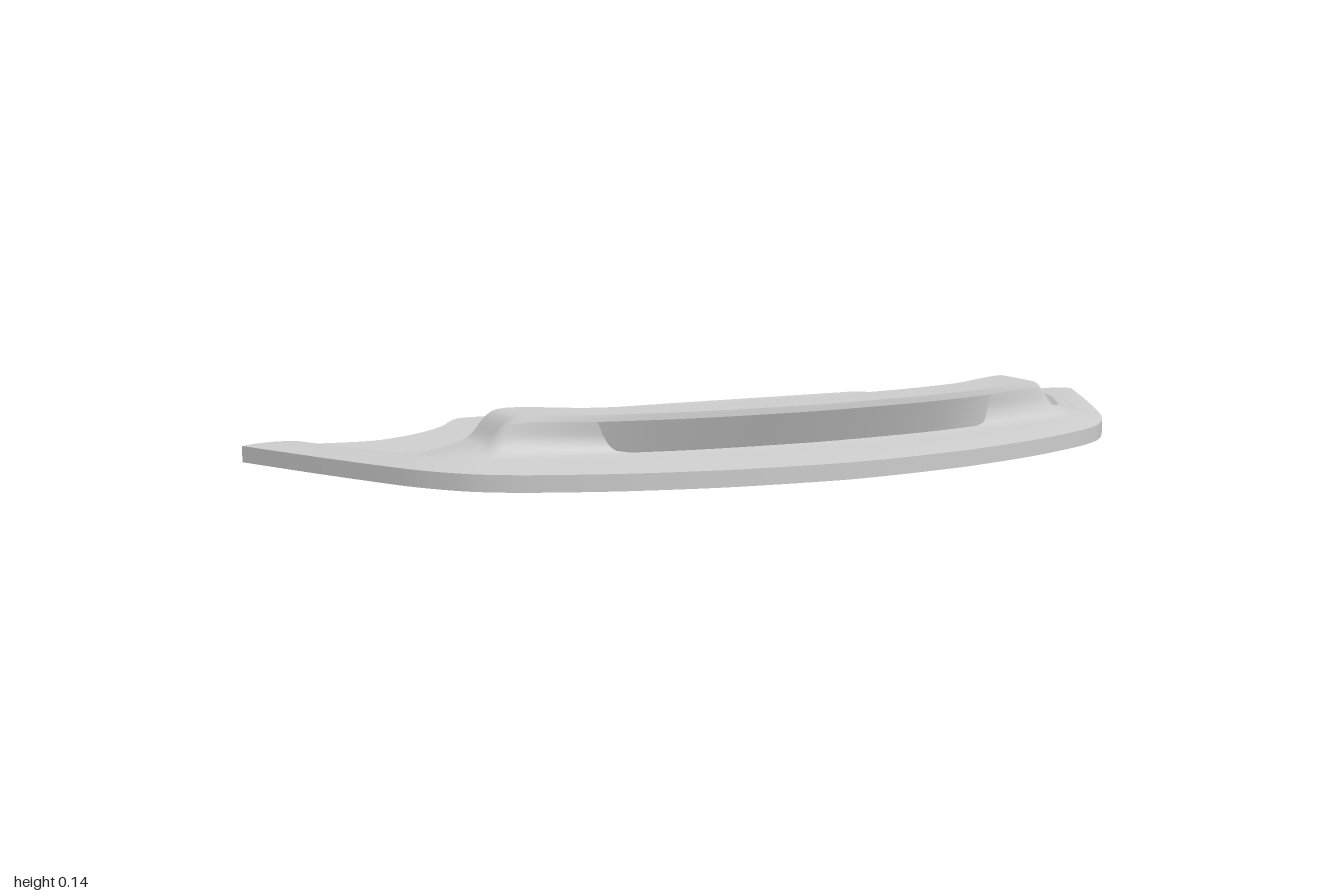
import * as THREE from 'three';

const material = new THREE.MeshStandardMaterial({ color: 0xcccccc, side: THREE.DoubleSide });

// Height of the undertray, which rises gently towards the back
const trayY = z => Math.max(0, 0.066 * (0.28 - z));

// A lengthwise rail: stations [x, z, y] from the centre to the tip, mirrored to the other side
function rail(stations, height = trayY) {
  const half = stations.map(([x, z, y]) => new THREE.Vector3(x, y ?? height(z), z));
  const other = half.slice(1).reverse().map(p => new THREE.Vector3(-p.x, p.y, p.z));
  return new THREE.CatmullRomCurve3([...other, ...half], false, 'catmullrom', 0.38);
}

const outline = [[0, .435], [.25, .41], [.45, .36], [.62, .292], [.71, .232], [.79, .13], [.9, -.08], [1, -.29]];
const innerLine = [[0, .3], [.25, .28], [.44, .24], [.6, .18], [.68, .12], [.76, .03], [.85, -.14], [.89, -.29]];

const outerBottom = rail(outline, () => 0.009);
const outerTop = rail(outline, () => 0.042);
const slope = rail([[0, .37, .052], [.25, .35, .052], [.445, .302, .052], [.61, .247, .052], [.69, .205, .052],
  [.77, .12, .05], [.885, -.1, .048], [.97, -.29, .045]]);
const foot = rail([[0, .295, .062], [.25, .278, .062], [.44, .24, .062], [.605, .197, .062], [.667, .178, .06],
  [.755, .1, .055], [.87, -.12, .05], [.94, -.29, .046]]);
const wall = rail([[0, .28, .088], [.25, .264, .088], [.43, .227, .088], [.6, .178, .088], [.655, .158, .07],
  [.75, .08, .056], [.86, -.125, .051], [.925, -.29, .046]]);
const underLip = rail([[0, .28, .121], [.25, .263, .121], [.425, .228, .121], [.59, .172, .121], [.648, .142, .079],
  [.745, .065, .056], [.855, -.13, .051], [.915, -.29, .046]]);
const topFront = rail([[0, .279, .134], [.25, .262, .134], [.42, .227, .134], [.585, .168, .134], [.645, .135, .082],
  [.742, .055, .057], [.85, -.13, .051], [.91, -.29, .046]]);
const topBack = rail([[0, .17, .134], [.25, .155, .134], [.42, .12, .134], [.585, .055, .134], [.645, .045, .08],
  [.74, .03, .056], [.835, -.13, .051], [.89, -.29, .045]]);
const wallBase = rail([[0, .11], [.25, .1], [.42, .08], [.56, .055], [.62, .048], [.67, .035], [.8, -.14], [.885, -.29]]);
const rimTop = rail(innerLine);
const rimBottom = rail(innerLine, z => Math.min(trayY(z), 0.006));
const trayBack = rail([[0, -.44], [.25, -.437], [.42, -.435], [.5, -.43], [.56, -.36], [.64, -.305], [.74, -.273], [.89, -.29]]);

// Surface across a set of rails; span(v) gives the start and end along them
function skin(name, rails, { nv = rails.length - 1, nu = 112, v0 = 0, v1 = 1, span = () => [0, 1] } = {}) {
  const pos = [], index = [];
  for (let j = 0; j <= nv; j++) {
    const t = j / nv, v = v0 + (v1 - v0) * t;
    const [a, b] = span(t);
    for (let i = 0; i <= nu; i++) {
      const u = a + (b - a) * i / nu;
      const pts = rails.map(r => r.getPoint(u));
      const p = rails.length > 2
        ? new THREE.CatmullRomCurve3(pts, false, 'catmullrom', 0.4).getPoint(v)
        : pts[0].lerp(pts[1], v);
      pos.push(p.x, p.y, p.z);
      if (i < nu && j < nv) {
        const k = j * (nu + 1) + i, m = k + nu + 1;
        index.push(k, k + 1, m, k + 1, m + 1, m);
      }
    }
  }
  const g = new THREE.BufferGeometry();
  g.setAttribute('position', new THREE.Float32BufferAttribute(pos, 3));
  g.setIndex(index);
  g.computeVertexNormals();
  const mesh = new THREE.Mesh(g, material);
  mesh.name = name;
  return mesh;
}

// Flat cap closing the section at one tip
function endCap(u, name) {
  const ring = [outerBottom, outerTop, slope, foot, topFront, topBack, rimTop, rimBottom].map(r => r.getPoint(u));
  if (u === 0) ring.reverse();
  const g = new THREE.BufferGeometry().setFromPoints(ring);
  const index = [];
  for (let i = 1; i < ring.length - 1; i++) index.push(0, i, i + 1);
  g.setIndex(index);
  g.computeVertexNormals();
  const mesh = new THREE.Mesh(g, material);
  mesh.name = name;
  return mesh;
}

export function createModel() {
  const group = new THREE.Group();
  group.name = 'frontSplitter';

  // Front face in three bands, the middle one broken by the slot
  const front = [outerTop, slope, foot, wall, underLip, topFront];
  const slotHalf = t => (1.7 + 0.43 * Math.sqrt(t)) / 14;
  group.add(
    skin('lowerFrontSlope', front, { nv: 8, v1: 0.4 }),
    skin('slotSurroundRight', front, { nv: 10, nu: 50, v0: 0.4, v1: 0.8, span: t => [0, 0.5 - slotHalf(t)] }),
    skin('slotSurroundLeft', front, { nv: 10, nu: 50, v0: 0.4, v1: 0.8, span: t => [0.5 + slotHalf(t), 1] }),
    skin('slotTopLip', front, { nv: 2, v0: 0.8 }),
  );

  // Remaining sides of the shell
  group.add(
    skin('outerEdge', [outerBottom, outerTop]),
    skin('raisedTop', [topFront, topBack]),
    skin('backWall', [topBack, wallBase]),
    skin('bottomFlange', [rimBottom, outerBottom]),
    skin('flangeInnerEdge', [rimTop, rimBottom]),
    endCap(0, 'rightEndCap'),
    endCap(1, 'leftEndCap'),
  );

  // Thin undertray reaching out behind
  group.add(skin('undertray', [rimTop, trayBack], { nv: 6 }));
  return group;
}
